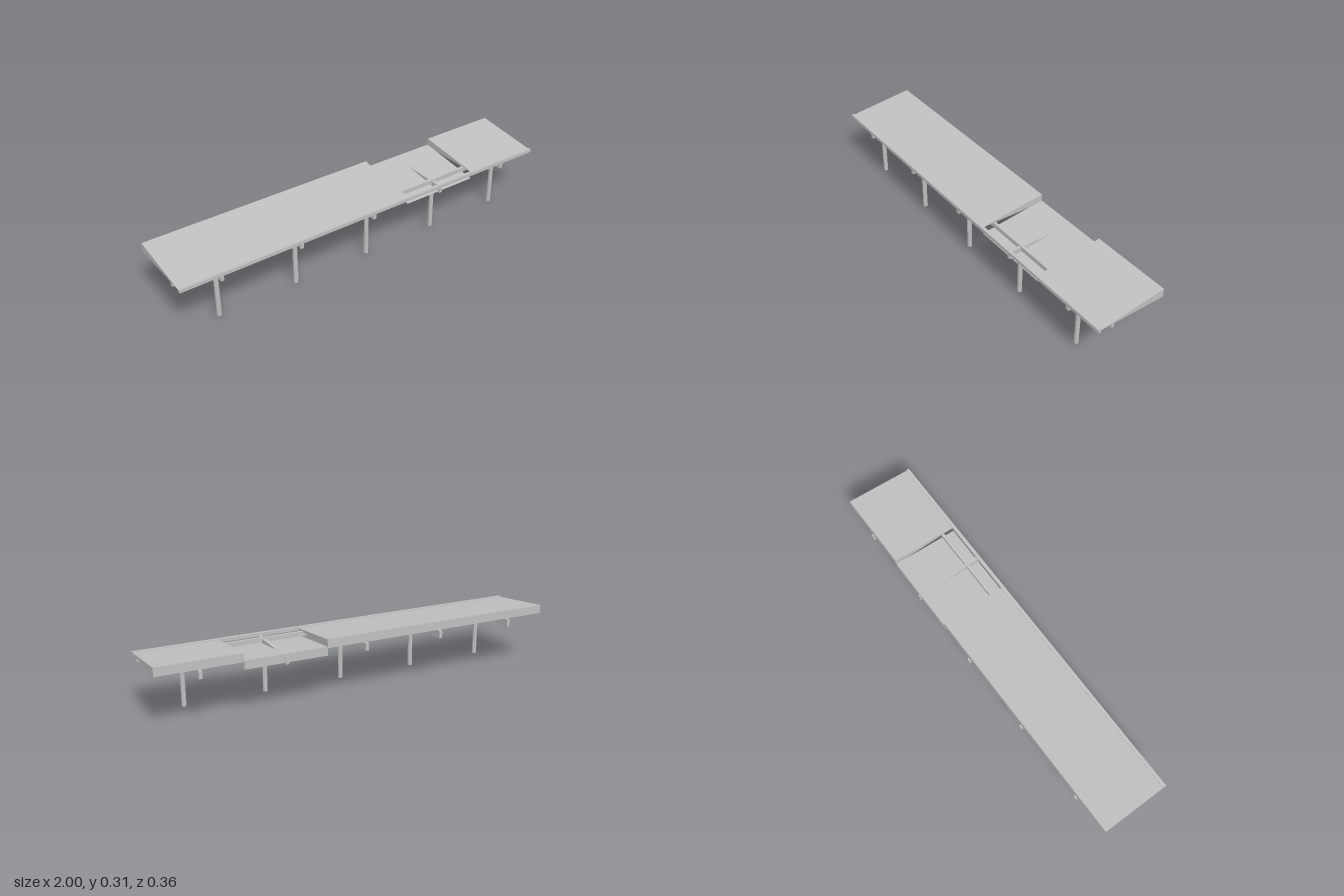
import * as THREE from 'three';

export function createModel() {
  const group = new THREE.Group();
  group.name = 'platformCanopy';
  const grey = new THREE.MeshStandardMaterial({ color: 0xc0c0c0, flatShading: true });
  grey.name = 'light grey';

  function add(geometry, name, x, y, z) {
    const mesh = new THREE.Mesh(geometry, grey);
    mesh.name = name;
    mesh.position.set(x, y, z);
    group.add(mesh);
    return mesh;
  }

  const bay = 0.4;
  const bayCentres = [-0.8, -0.4, 0, 0.4, 0.8];
  const droppedBay = 3;

  // Wedge roof section: thin at the front, tall at the back, closed all round
  const profile = new THREE.Shape();
  profile.moveTo(-0.165, 0.267);
  profile.lineTo(0.17, 0.267);
  profile.lineTo(0.17, 0.309);
  profile.lineTo(-0.165, 0.269);
  profile.closePath();
  const roof = new THREE.ExtrudeGeometry(profile, { depth: bay, bevelEnabled: false });
  roof.rotateY(Math.PI / 2); // profile x becomes -z, depth becomes +x
  roof.translate(-bay / 2, 0, 0);

  // Octagonal posts with a flat side facing the front
  const post = new THREE.CylinderGeometry(0.0114, 0.0114, 0.228, 8);
  post.rotateY(Math.PI / 8);

  const crossBeam = new THREE.BoxGeometry(0.016, 0.036, 0.348);

  bayCentres.forEach((x, i) => {
    add(post, 'post', x, 0.114, 0.104);
    add(crossBeam, 'crossBeam', x, 0.244, -0.003);
    // One roof section has sunk below its neighbours
    add(roof, 'roofSection', x, i === droppedBay ? -0.035 : 0, 0);
  });

  // Rails running the whole length
  add(new THREE.BoxGeometry(2, 0.017, 0.016), 'frontRail', 0, 0.2645, 0.17);
  add(new THREE.BoxGeometry(2, 0.022, 0.014), 'purlin', 0, 0.259, 0.103);

  return group;
}
